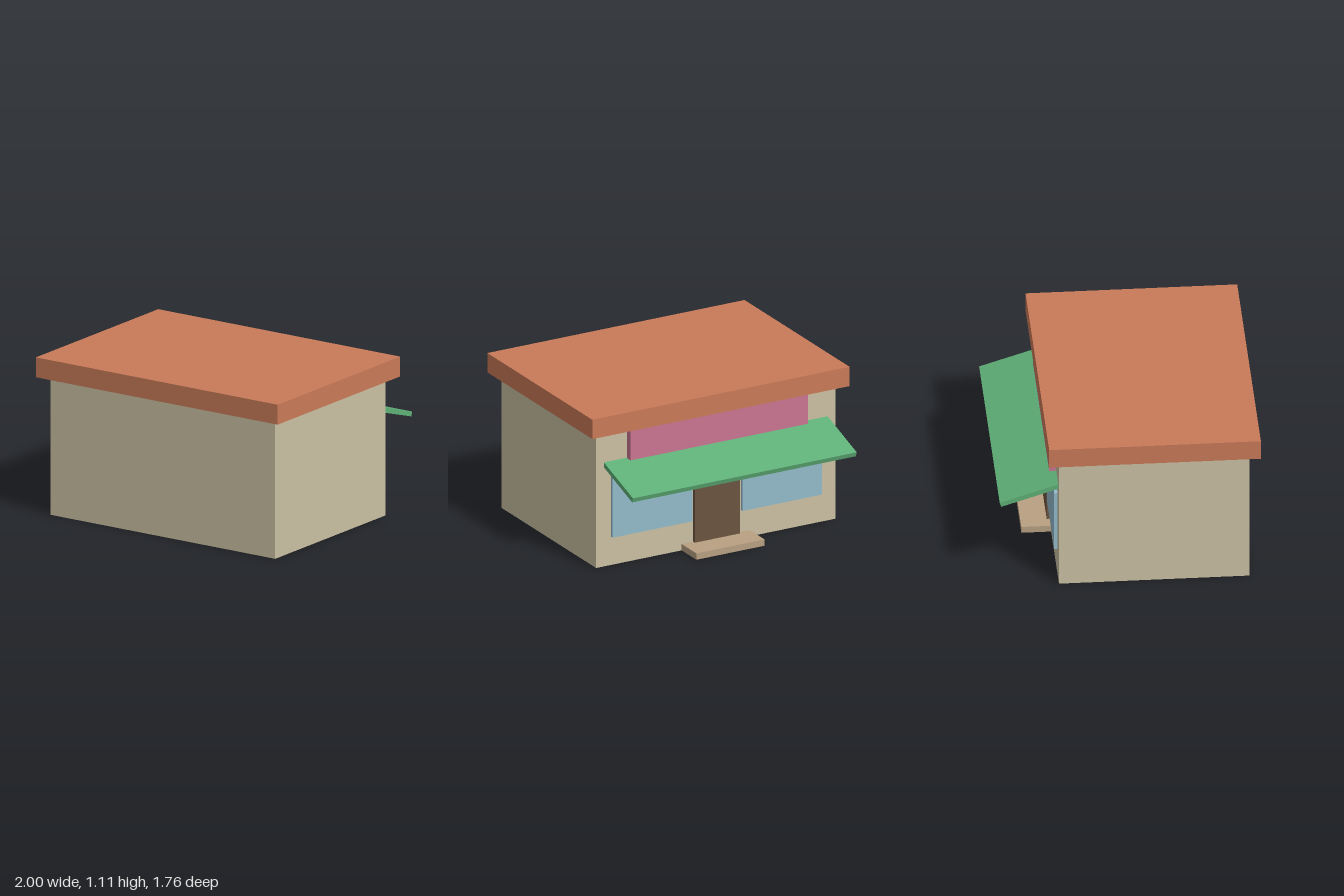
import * as THREE from 'three';

const paint = (name, color) => {
  const m = new THREE.MeshStandardMaterial({ color });
  m.name = name;
  return m;
};

export function createModel() {
  const shop = new THREE.Group();
  shop.name = 'shop';

  const wall = paint('sand wall', 0xcac0a2);
  const terracotta = paint('terracotta', 0xc97a58);
  const pink = paint('pink', 0xc97590);
  const green = paint('green', 0x5fb077);
  const glass = paint('blue glass', 0x93bbcb);
  const wood = paint('dark wood', 0x6c5440);
  const stone = paint('tan stone', 0xb8a082);

  // Box given by its [min, max] range on each axis
  function block(name, material, [x0, x1], [y0, y1], [z0, z1]) {
    const mesh = new THREE.Mesh(new THREE.BoxGeometry(x1 - x0, y1 - y0, z1 - z0), material);
    mesh.position.set((x0 + x1) / 2, (y0 + y1) / 2, (z0 + z1) / 2);
    mesh.name = name;
    shop.add(mesh);
    return mesh;
  }

  // Building shell
  block('walls', wall, [-0.93, 0.93], [0, 0.972], [-0.483, 0.81]);
  block('roof', terracotta, [-1, 1], [0.972, 1.112], [-0.555, 0.88]);

  // Shopfront on the -z side
  block('signBoard', pink, [-0.69, 0.69], [0.75, 0.972], [-0.53, -0.483]);
  block('door', wood, [-0.175, 0.175], [0.02, 0.667], [-0.506, -0.483]);
  block('doorstep', stone, [-0.265, 0.265], [0, 0.046], [-0.685, -0.483]);
  for (const side of [-1, 1]) {
    const window = block(side > 0 ? 'leftWindow' : 'rightWindow', glass,
      [-0.31, 0.31], [0.205, 0.65], [-0.506, -0.483]);
    window.position.x = side * 0.505;
  }

  // Awning slab sloping down and away from the wall
  const awning = block('awning', green, [-0.87, 0.87], [0.658, 0.692], [-0.885, -0.465]);
  awning.rotation.x = -0.31;

  return shop;
}
